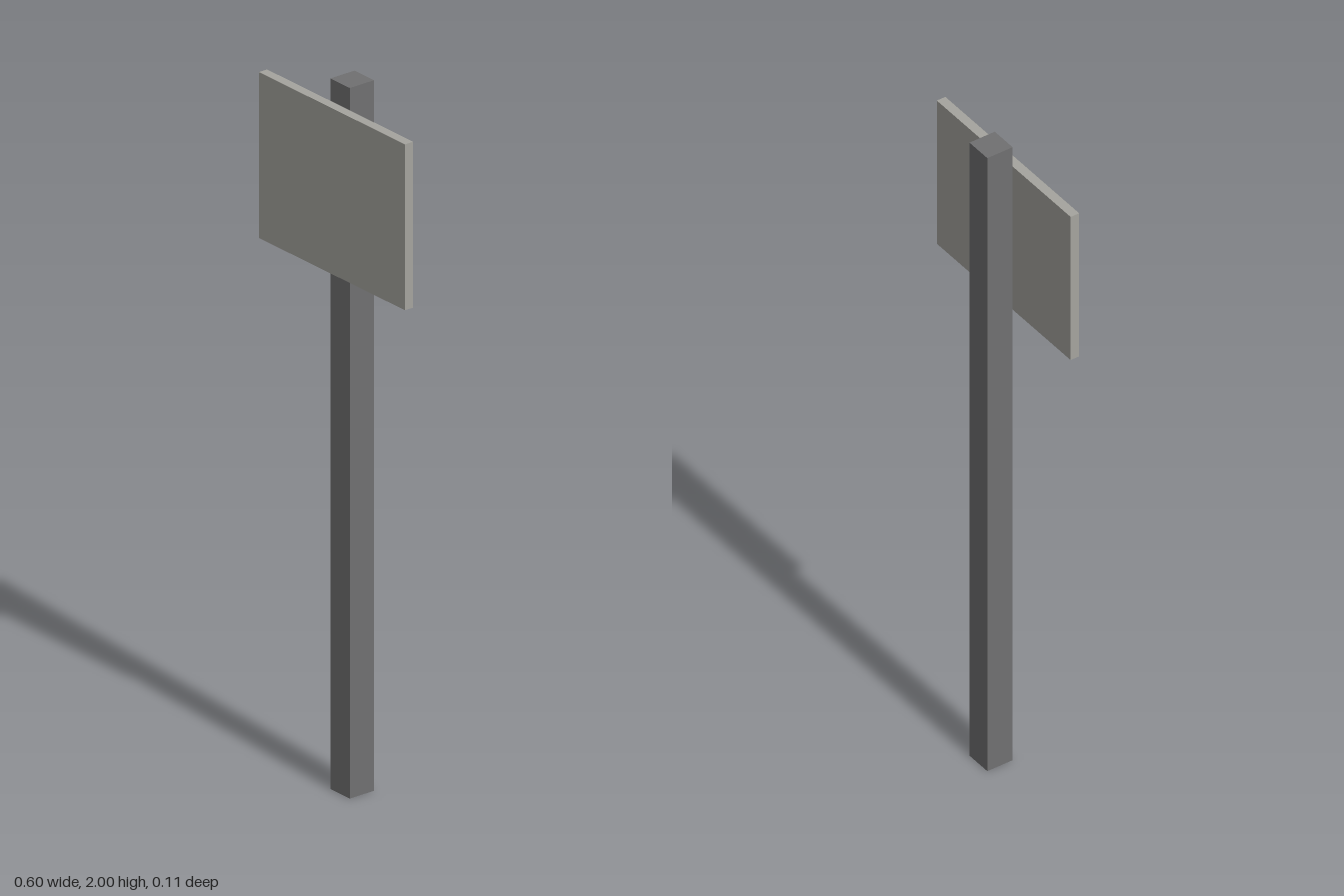
import * as THREE from 'three';

const postGrey = new THREE.MeshStandardMaterial({ name: 'postGrey', color: 0x707071 });
const boardGrey = new THREE.MeshStandardMaterial({ name: 'boardGrey', color: 0xa5a49e });

// Box given by its size and the position of its centre
function box(name, material, size, position) {
  const mesh = new THREE.Mesh(new THREE.BoxGeometry(...size), material);
  mesh.name = name;
  mesh.position.set(...position);
  return mesh;
}

export function createModel() {
  const sign = new THREE.Group();
  sign.name = 'signpost';

  // Square upright standing on the ground
  sign.add(box('post', postGrey, [0.08, 2, 0.08], [0, 1, -0.0135]));

  // Blank board fixed to the front of the post
  sign.add(box('signBoard', boardGrey, [0.6, 0.467, 0.027], [0, 1.7035, 0.04]));

  return sign;
}
